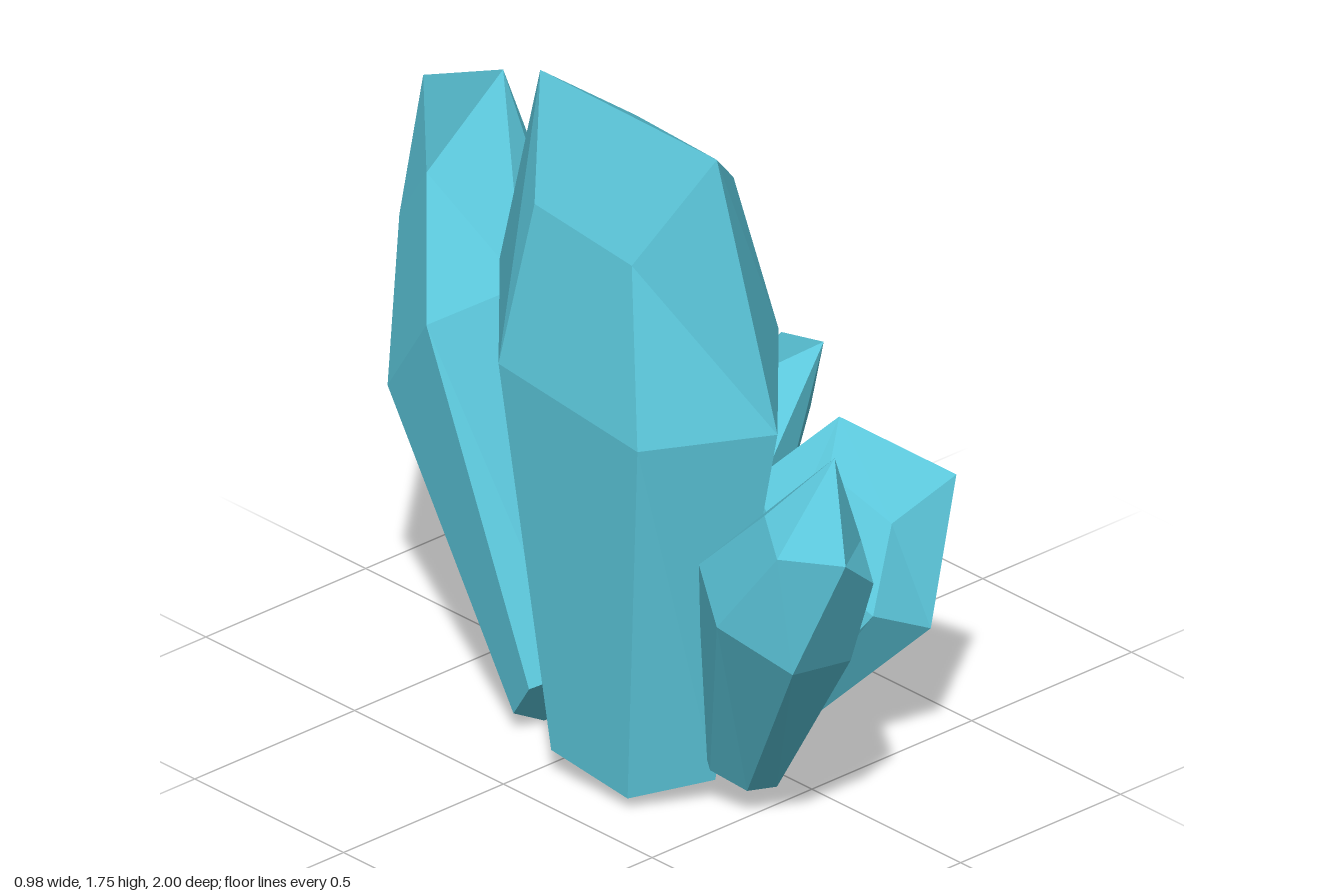
import * as THREE from 'three';

const V = (a) => new THREE.Vector3(...a);

// Six-sided ring: two end points on the long axis, two corners on each flank.
function ring(center, long, side, longScale, sideScale, flank = 0.5) {
  const at = (l, s) => center.clone().addScaledVector(long, l * longScale).addScaledVector(side, s * sideScale);
  return [at(-1, 0), at(-flank, 1), at(flank, 1), at(1, 0), at(flank, -1), at(-flank, -1)];
}

// Crystal: narrow foot, wide waist, tapered shoulders under a roof-like ridge.
function crystalGeometry({ base, waist, shoulder, long, side, ridge, foot = [0.4, 0.5] }) {
  const [b, w, s, l, d] = [base, waist, shoulder, long, side].map(V);
  // keep the rings turning the same way around the growth axis
  if (l.clone().cross(d).dot(w.clone().sub(b)) < 0) d.negate();
  const top = ring(s, l, d, 1, 0.72, 0.35);
  top[0] = V(ridge[0]);
  top[3] = V(ridge[1]);
  const rings = [ring(b, l, d, foot[0], foot[1]), ring(w, l, d, 1, 1), top];

  const index = [];
  for (let r = 0; r < 2; r++) {
    for (let i = 0; i < 6; i++) {
      const a = r * 6 + i, n = r * 6 + (i + 1) % 6;
      index.push(a, a + 6, n + 6, a, n + 6, n);
    }
  }
  // roof facets
  index.push(15, 14, 13, 15, 13, 12, 12, 17, 16, 12, 16, 15);
  // underside
  for (let i = 1; i < 5; i++) index.push(0, i, i + 1);

  const geo = new THREE.BufferGeometry().setFromPoints(rings.flat());
  geo.setIndex(index);
  const flat = geo.toNonIndexed();
  flat.computeVertexNormals();
  return flat;
}

const CRYSTALS = [
  {
    name: 'mainCrystal',
    base: [-0.225, 0.1, 0.16], waist: [-0.235, 1.1, 0.17], shoulder: [-0.24, 1.5, 0.16],
    long: [0.025, -0.07, 0.44], side: [0.235, 0.07, -0.015],
    ridge: [[-0.31, 1.745, -0.08], [-0.26, 1.7, 0.46]], foot: [0.55, 0.7],
  },
  {
    name: 'backCrystal',
    base: [-0.24, 0.1, -0.09], waist: [-0.11, 0.81, -0.485], shoulder: [-0.005, 1.12, -0.65],
    long: [0.06, -0.25, -0.195], side: [0.175, -0.01, 0.07],
    ridge: [[0.03, 1.44, -0.57], [0.18, 1.21, -1]],
  },
  {
    name: 'frontCrystal',
    base: [-0.16, 0.09, 0.43], waist: [-0.265, 0.61, 0.66], shoulder: [-0.28, 0.84, 0.825],
    long: [-0.13, -0.04, 0.2], side: [0.135, -0.06, 0.08],
    ridge: [[-0.18, 1.02, 0.77], [-0.36, 0.89, 1]],
  },
  {
    name: 'frontLeftCrystal',
    base: [-0.04, 0.09, 0.26], waist: [0.165, 0.515, 0.42], shoulder: [0.25, 0.68, 0.425],
    long: [0.1, -0.15, 0.195], side: [0.105, 0, -0.07],
    ridge: [[0.225, 0.825, 0.35], [0.35, 0.73, 0.61]],
  },
  {
    name: 'leftCrystal',
    base: [-0.03, 0.1, 0], waist: [0.16, 0.43, 0], shoulder: [0.345, 0.69, -0.02],
    long: [0.05, -0.14, -0.18], side: [0.08, -0.06, 0.055],
    ridge: [[0.4, 0.865, 0.11], [0.5, 0.76, -0.14]],
  },
];

export function createModel() {
  const group = new THREE.Group();
  group.name = 'crystalCluster';
  const material = new THREE.MeshStandardMaterial({ color: 0x5cc8dc, flatShading: true });
  for (const spec of CRYSTALS) {
    const mesh = new THREE.Mesh(crystalGeometry(spec), material);
    mesh.name = spec.name;
    group.add(mesh);
  }
  return group;
}
